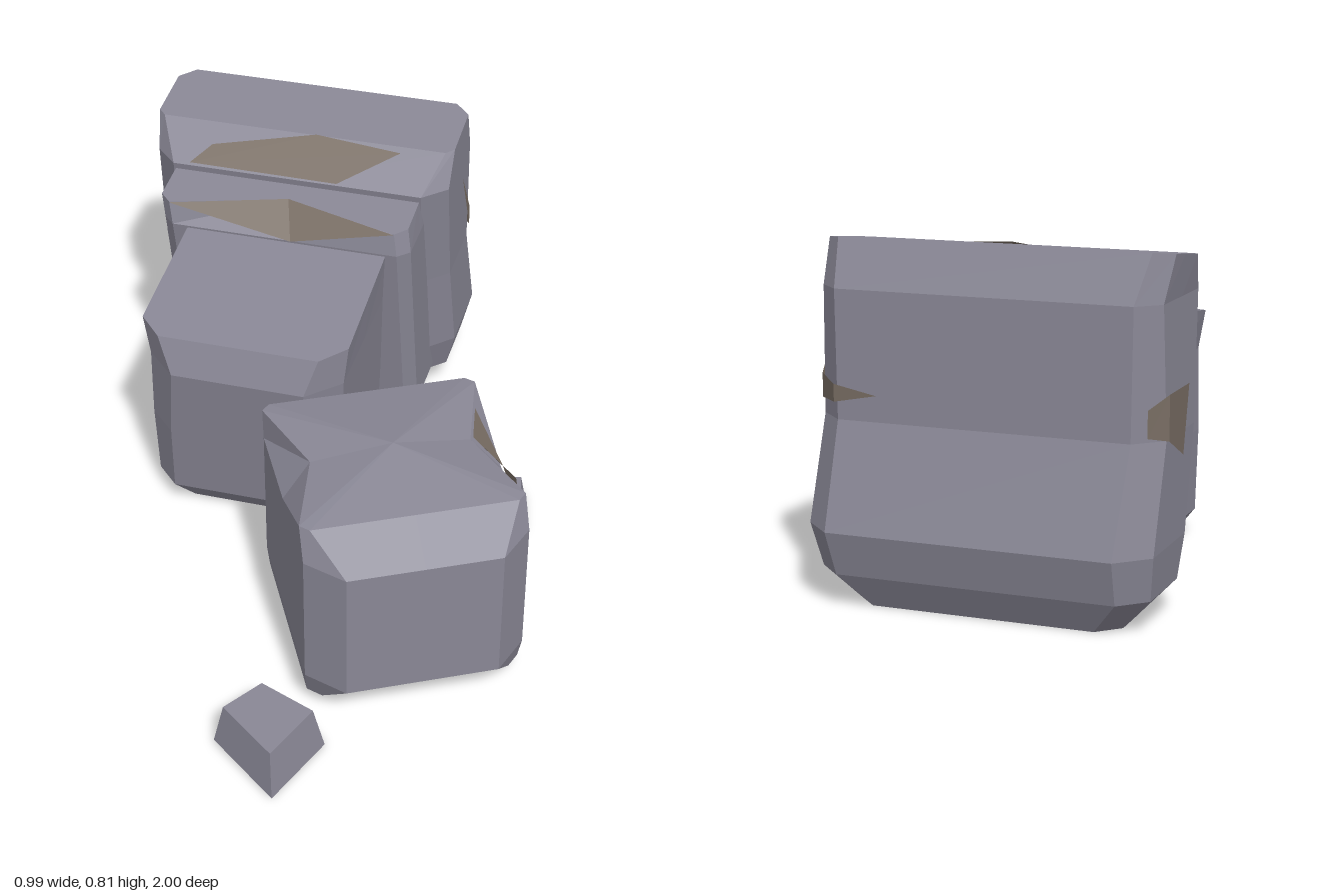
import * as THREE from 'three';

const stone = new THREE.MeshStandardMaterial({ color: 0x898795, flatShading: true, side: THREE.DoubleSide });
stone.name = 'grey stone';
const earth = new THREE.MeshStandardMaterial({ color: 0x776c62, flatShading: true, side: THREE.DoubleSide });
earth.name = 'brown earth';

function meshFrom(triangles, material, name) {
  const geo = new THREE.BufferGeometry();
  geo.setAttribute('position', new THREE.Float32BufferAttribute(triangles.flat(), 3));
  geo.computeVertexNormals();
  const mesh = new THREE.Mesh(geo, material);
  mesh.name = name;
  return mesh;
}

// Joins closed rings from bottom to top, capped above and open below
function loft(name, rings, topRise = 0) {
  const tris = [];
  const n = rings[0].length;
  const top = rings[rings.length - 1];
  const peak = [0, topRise, 0];
  top.forEach(p => p.forEach((v, k) => { peak[k] += v / n; }));
  for (let j = 0; j < n; j++) {
    const k = (j + 1) % n;
    for (let i = 0; i + 1 < rings.length; i++) {
      const a = rings[i], b = rings[i + 1];
      tris.push(a[j], b[j], a[k], a[k], b[j], b[k]);
    }
    tris.push(peak, top[k], top[j]);
  }
  return meshFrom(tris, stone, name);
}

// Chamfered rectangle ring: c and cb are the front and back chamfers,
// tilt slopes it along z, pinch dents both sides and dent the front
function ring(y, x0, x1, z0, z1, c, { cb = c, tilt = 0, pinch = 0, dent = 0 } = {}) {
  const zm = (z0 + z1) / 2, xm = (x0 + x1) / 2;
  return [
    [x1 - pinch, zm], [x1, z1 - c], [x1 - c, z1], [xm, z1 - dent], [x0 + c, z1], [x0, z1 - c],
    [x0 + pinch, zm], [x0, z0 + cb], [x0 + cb, z0], [x1 - cb, z0], [x1, z0 + cb],
  ].map(([x, z]) => [x, y + tilt * z, z]);
}

// Thin exposed-earth face, as a fan of triangles
function patch(name, pts) {
  const tris = [];
  for (let i = 1; i + 1 < pts.length; i++) tris.push(pts[0], pts[i], pts[i + 1]);
  return meshFrom(tris, earth, name);
}

// Patch lying on a sloped face: points are [x, t] between its lower and upper edge
function slopePatch(name, [y0, z0], [y1, z1], pts) {
  return patch(name, pts.map(([x, t]) =>
    [x, y0 + (y1 - y0) * t + 0.004, z0 + (z1 - z0) * t + 0.004]));
}

// Small tapered stone from its ground outline
function pebble(name, outline, height) {
  const n = outline.length;
  const cx = outline.reduce((s, p) => s + p[0], 0) / n;
  const cz = outline.reduce((s, p) => s + p[1], 0) / n;
  const level = (y, s) => outline.map(([x, z]) => [cx + (x - cx) * s, y, cz + (z - cz) * s]);
  return loft(name, [level(0.01, 1), level(height, 0.8)]);
}

export function createModel() {
  const model = new THREE.Group();
  model.name = 'rockCluster';

  // Front boulder
  const front = new THREE.Group();
  front.name = 'frontBoulder';
  front.add(
    loft('frontBoulderStone', [
      ring(0.022, -0.2, 0.2, 0.28, 0.68, 0.06),
      ring(0.045, -0.26, 0.25, 0.23, 0.74, 0.03),
      ring(0.12, -0.27, 0.25, 0.2, 0.82, 0.08),
      ring(0.46, -0.27, 0.25, 0.2, 0.82, 0.08),
      ring(0.535, -0.27, 0.25, 0.25, 0.72, 0.02, { pinch: 0.07 }),
    ], 0.04),
    patch('frontBoulderNotch', [
      [0.255, 0.462, 0.51], [0.22, 0.542, 0.38], [0.186, 0.542, 0.487],
      [0.255, 0.505, 0.61], [0.255, 0.42, 0.68]]),
  );
  model.add(front);

  // Rear stepped outcrop, turned on the ground
  const rear = new THREE.Group();
  rear.name = 'rearOutcrop';
  rear.position.set(0, 0, -0.4);
  rear.rotation.y = -28 * Math.PI / 180;
  rear.add(
    loft('lowStep', [
      ring(0.015, -0.26, 0.16, 0, 0.46, 0.06),
      ring(0.07, -0.3, 0.19, 0, 0.5, 0.06),
      ring(0.27, -0.3, 0.2, 0, 0.53, 0.07),
      ring(0.47, -0.29, 0.21, 0, 0.56, 0.08),
      ring(0.63, -0.31, 0.22, 0, 0.53, 0.06, { tilt: -0.13 }),
    ]),
    loft('middleStep', [
      ring(0.04, -0.33, 0.27, -0.22, 0.01, 0.03),
      ring(0.1, -0.36, 0.29, -0.22, 0.05, 0.03),
      ring(0.62, -0.38, 0.28, -0.15, 0.12, 0.03),
      ring(0.69, -0.39, 0.27, -0.15, 0.11, 0.03, { tilt: -0.1, dent: 0.08 }),
    ]),
    loft('highStep', [
      ring(0.005, -0.38, 0.24, -0.41, -0.24, 0.05),
      ring(0.08, -0.45, 0.32, -0.45, -0.14, 0.06),
      ring(0.18, -0.46, 0.345, -0.475, -0.11, 0.07),
      ring(0.42, -0.465, 0.335, -0.4, -0.08, 0.06),
      ring(0.71, -0.455, 0.335, -0.39, -0.03, 0.06, { cb: 0.05 }),
      ring(0.777, -0.47, 0.335, -0.345, -0.13, 0.02, { cb: 0.04, tilt: -0.12 }),
    ]),
    // Earth showing in the step edges and in the side cracks
    patch('middleStepEarth', [
      [-0.03, 0.622, 0.126], [0.24, 0.68, 0.115], [-0.06, 0.692, 0.036], [-0.36, 0.68, 0.115]]),
    slopePatch('highStepEarth', [0.71, -0.03], [0.793, -0.13],
      [[-0.35, 0.05], [0.05, 0.03], [0.2, 0.85], [-0.03, 1], [-0.3, 0.5]]),
    patch('rightCrack', [[0.341, 0.66, -0.235], [0.341, 0.455, -0.34], [0.341, 0.51, -0.34]]),
    patch('rightCrackCorner', [
      [0.341, 0.51, -0.34], [0.341, 0.455, -0.34], [0.282, 0.46, -0.405], [0.282, 0.5, -0.405]]),
    patch('rightCrackEnd', [[0.282, 0.5, -0.405], [0.282, 0.46, -0.405], [0.18, 0.48, -0.405]]),
    patch('leftCrack', [
      [-0.471, 0.52, -0.2], [-0.471, 0.52, -0.34], [-0.472, 0.42, -0.343], [-0.472, 0.37, -0.24]]),
    patch('leftCrackCorner', [
      [-0.471, 0.52, -0.34], [-0.435, 0.49, -0.378], [-0.435, 0.43, -0.38], [-0.472, 0.42, -0.343]]),
  );
  model.add(rear);

  // Loose stones
  model.add(
    pebble('rightStone', [[0.135, -0.06], [0.2, -0.13], [0.33, -0.15], [0.385, 0], [0.27, 0.12], [0.165, 0.095]], 0.135),
    pebble('smallRightStone', [[0.33, 0.07], [0.45, 0.11], [0.41, 0.24], [0.29, 0.16]], 0.085),
    pebble('frontLeftStone', [[-0.495, 0.79], [-0.37, 0.72], [-0.25, 0.86], [-0.4, 0.995]], 0.12),
  );
  return model;
}
